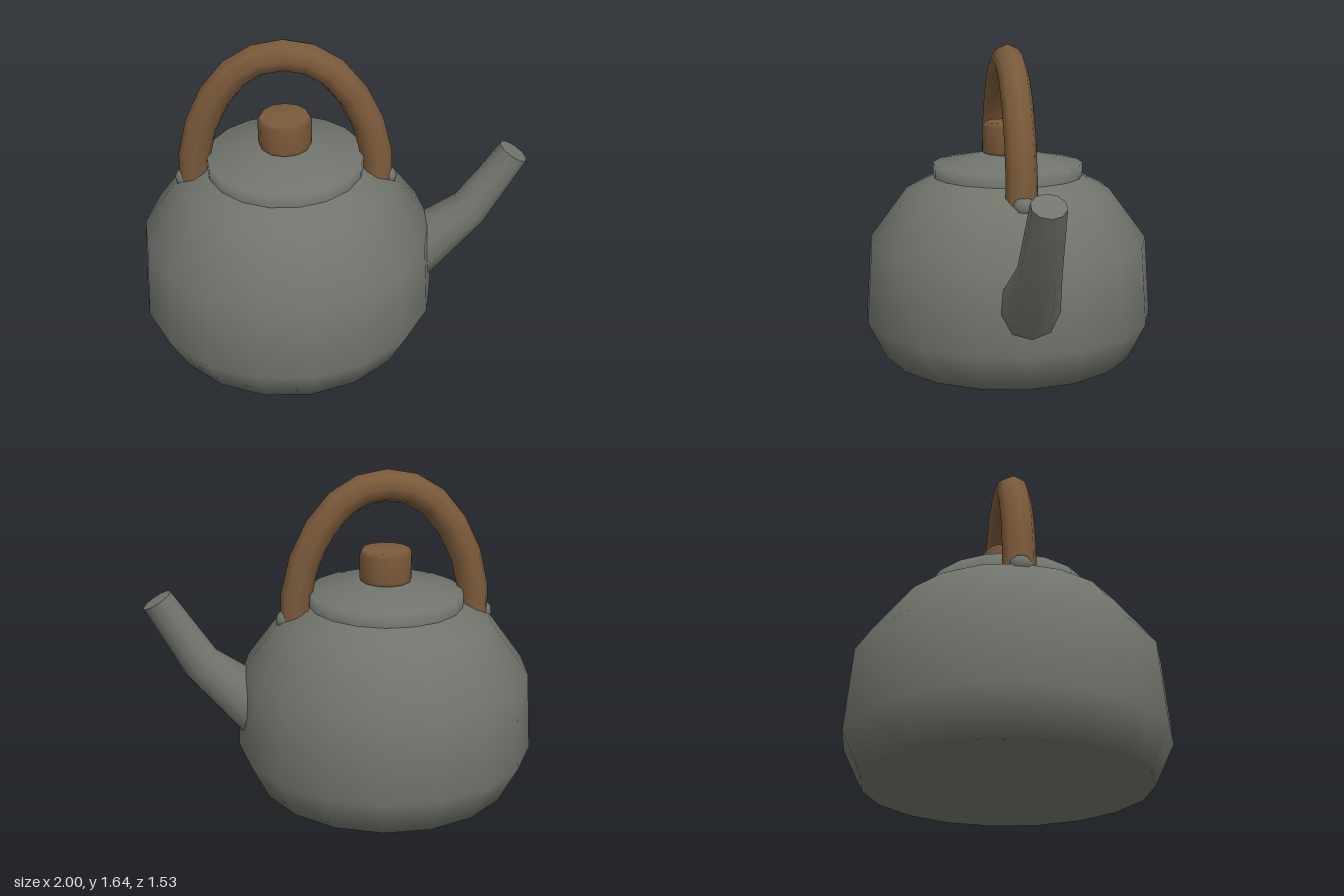
import * as THREE from 'three';

const CX = -0.225; // axis of the pot

const metal = new THREE.MeshStandardMaterial({ color: 0x70746c });
metal.name = 'grey metal';
const wood = new THREE.MeshStandardMaterial({ color: 0x7a5a3a });
wood.name = 'brown wood';

// Smooth turned part around the pot axis, profile listed from bottom to top
function turned(name, profile, sides, material) {
  const points = profile.map(([r, y]) => new THREE.Vector2(r, y));
  const mesh = new THREE.Mesh(new THREE.LatheGeometry(points, sides, Math.PI / 2), material);
  mesh.name = name;
  mesh.position.x = CX;
  return mesh;
}

// Smooth tube through rings [x, y, radius, tangentX, tangentY], with flat caps
function loft(name, rings, sides, material) {
  const pos = [], index = [];
  const addRing = ([x, y, r, tx, ty]) => {
    const len = Math.hypot(tx, ty), start = pos.length / 3;
    for (let j = 0; j < sides; j++) {
      const a = (j / sides) * Math.PI * 2, c = r * Math.cos(a);
      pos.push(x + (c * ty) / len, y - (c * tx) / len, -r * Math.sin(a));
    }
    return start;
  };
  const starts = rings.map(addRing);
  for (let i = 0; i < rings.length - 1; i++) {
    for (let j = 0; j < sides; j++) {
      const k = (j + 1) % sides;
      const a = starts[i] + j, b = starts[i] + k, c = starts[i + 1] + k, d = starts[i + 1] + j;
      index.push(a, b, c, a, c, d);
    }
  }
  for (const [ring, end] of [[rings[0], false], [rings[rings.length - 1], true]]) {
    const s = addRing(ring);
    for (let j = 1; j < sides - 1; j++) {
      if (end) index.push(s, s + j, s + j + 1);
      else index.push(s, s + j + 1, s + j);
    }
  }
  const geometry = new THREE.BufferGeometry();
  geometry.setAttribute('position', new THREE.Float32BufferAttribute(pos, 3));
  geometry.setIndex(index);
  geometry.computeVertexNormals();
  const mesh = new THREE.Mesh(geometry, material);
  mesh.name = name;
  return mesh;
}

export function createModel() {
  const group = new THREE.Group();
  group.name = 'kettle';

  // Round belly, closed underneath
  group.add(turned('body', [
    [0, 0], [0.68, 0], [0.776, 0.2], [0.745, 0.61], [0.543, 0.88], [0.39, 0.955],
  ], 18, metal));

  // Lid with a short wall and a shallow dome
  group.add(turned('lid', [
    [0.4, 0.93], [0.4, 1.018], [0.13, 1.07], [0, 1.075],
  ], 18, metal));

  // Knob with small bevels
  group.add(turned('lidKnob', [
    [0, 1.06], [0.12, 1.06], [0.135, 1.085], [0.135, 1.215], [0.12, 1.237], [0, 1.237],
  ], 12, wood));

  // Spout: wide root inside the belly, bending upward to a narrow mouth
  group.add(loft('spout', [
    [0.43, 0.4, 0.16, 0.737, 0.676],
    [0.73, 0.675, 0.103, 0.63, 0.776],
    [0.93, 1.015, 0.081, 0.507, 0.862],
  ], 10, metal));

  // Arched handle: half the path, mirrored about the axis
  const half = [[0.465, 0.85], [0.46, 1.01], [0.415, 1.19], [0.338, 1.345], [0.235, 1.47], [0.122, 1.538]];
  const path = [
    ...half.map(([x, y]) => [-x, y]),
    [0, 1.56],
    ...half.slice().reverse(),
  ];
  const rings = path.map(([x, y], i) => {
    const p = path[Math.max(i - 1, 0)], n = path[Math.min(i + 1, path.length - 1)];
    return [CX + x, y, 0.08, n[0] - p[0], n[1] - p[1]];
  });
  group.add(loft('handle', rings, 8, wood));

  // Rivets holding the handle ends
  for (const side of [-1, 1]) {
    const rivet = new THREE.Mesh(new THREE.SphereGeometry(0.055, 10, 8), metal);
    rivet.name = side > 0 ? 'leftRivet' : 'rightRivet';
    rivet.position.set(CX + side * 0.512, 0.88, 0);
    group.add(rivet);
  }
  return group;
}
